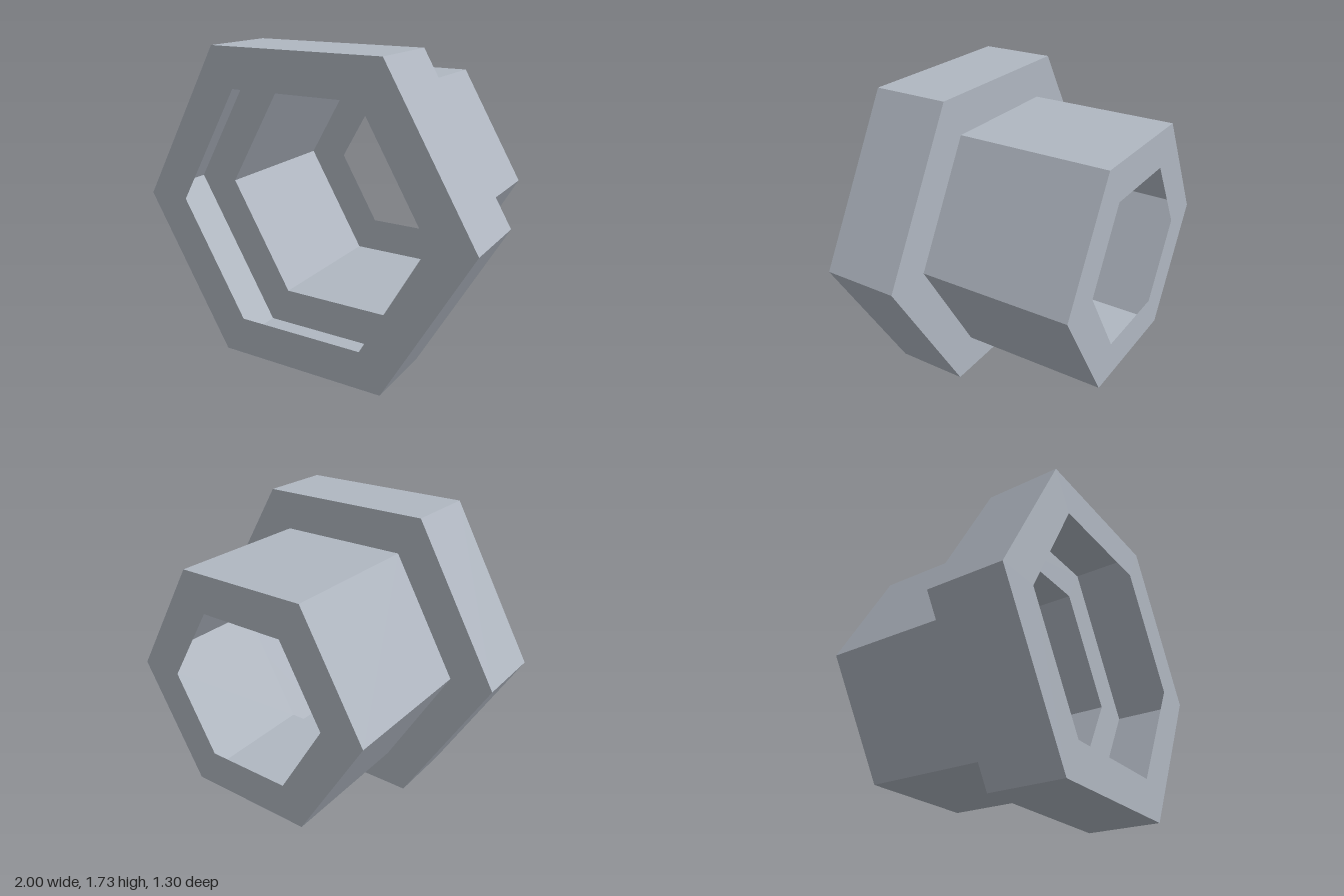
import * as THREE from 'three';

const CENTRE_Y = Math.sqrt(3) / 2;

// Six-sided thin shell from [radius, z] pairs, listed rear to front
function hexShell(name, profile, material) {
  const points = profile.map(([r, z]) => new THREE.Vector2(r, z));
  const geometry = new THREE.LatheGeometry(points, 6, Math.PI / 2).toNonIndexed();
  geometry.rotateX(Math.PI / 2);
  geometry.computeVertexNormals();
  const mesh = new THREE.Mesh(geometry, material);
  mesh.name = name;
  mesh.position.y = CENTRE_Y;
  return mesh;
}

export function createModel() {
  const steel = new THREE.MeshStandardMaterial({ color: 0xb0b7c1, flatShading: true, side: THREE.DoubleSide });
  steel.name = 'steel grey';

  const group = new THREE.Group();
  group.name = 'hexFitting';

  // Narrow rear sleeve with an inward rim around the rear opening
  group.add(hexShell('sleeve', [[0.5, -0.65], [0.75, -0.65], [0.75, 0.217]], steel));

  // Wide hollow collar, open through the middle
  group.add(hexShell('collar', [[0.75, 0.217], [1, 0.217], [1, 0.65], [0.75, 0.65]], steel));

  return group;
}
